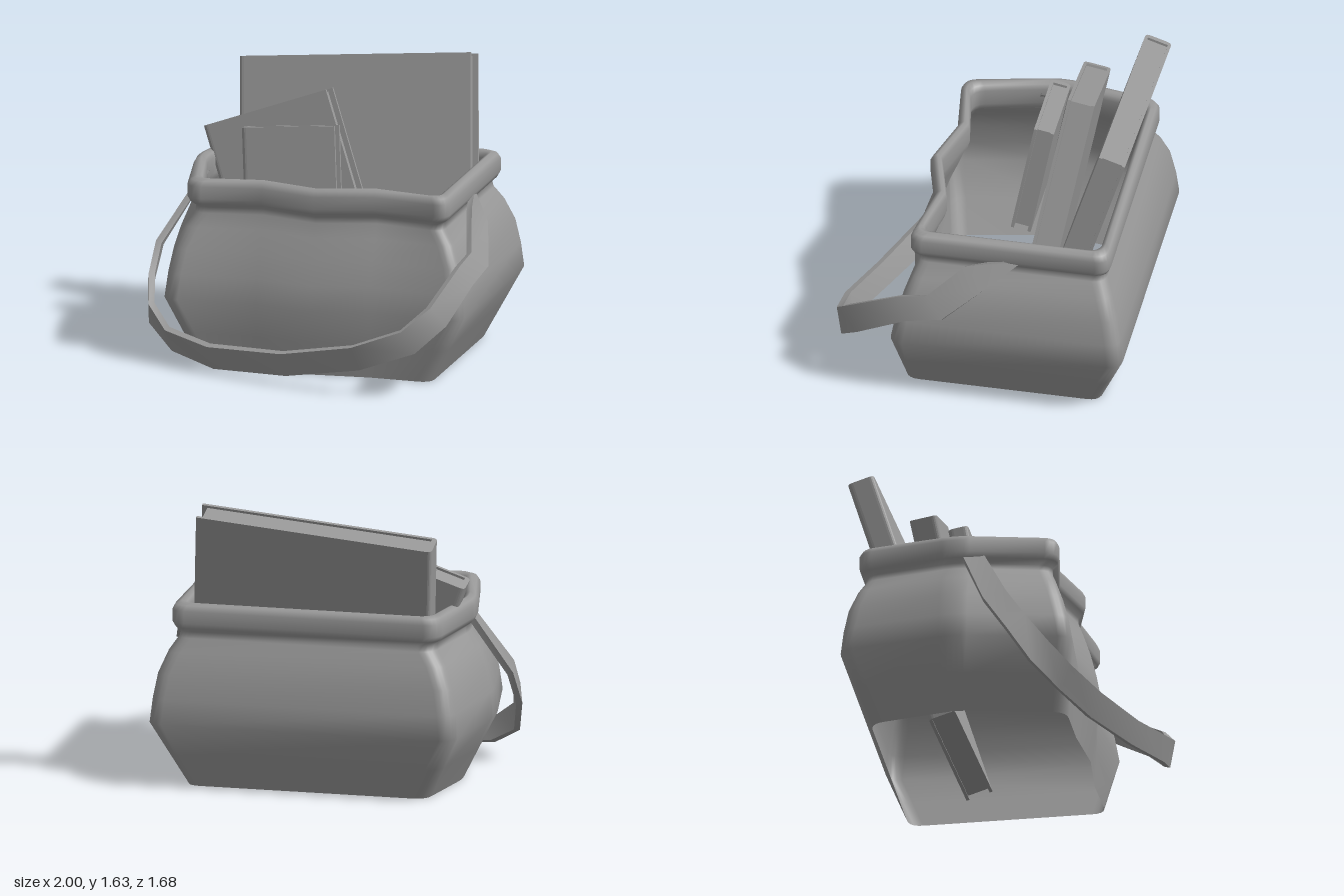
import * as THREE from 'three';
import { toCreasedNormals } from 'three/addons/utils/BufferGeometryUtils.js';

const V = (x, y, z) => new THREE.Vector3(x, y, z);
const smooth = new THREE.MeshStandardMaterial({ color: 0x999999, side: THREE.DoubleSide });
const flat = new THREE.MeshStandardMaterial({ color: 0x999999, side: THREE.DoubleSide, flatShading: true });

// Skin a list of closed rings that all have the same number of points
function loft(rings) {
  const n = rings[0].length, index = [];
  for (let i = 0; i < rings.length - 1; i++) {
    for (let j = 0; j < n; j++) {
      const k = (j + 1) % n;
      const a = i * n + j, b = i * n + k, c = a + n, d = b + n;
      index.push(a, b, d, a, d, c);
    }
  }
  const geo = new THREE.BufferGeometry().setFromPoints(rings.flat());
  geo.setIndex(index);
  geo.computeVertexNormals();
  return geo;
}

function add(group, name, geo, mat) {
  const mesh = new THREE.Mesh(geo, mat);
  mesh.name = name;
  group.add(mesh);
  return mesh;
}

// Horizontal outline: rounded corners, wavy front, right side bowed outward
function bagRing([y, hw, zf, zb, wave]) {
  const pts = [
    [V(hw, y, zf - 0.02), 1], [V(hw, y, zb), 1], [V(-hw + 0.1, y, zb), 1],
    [V(-hw, y, -0.18), 1], [V(-hw + 0.12, y, zf - 0.03), 1],
    [V(-0.28, y, zf - wave), 0], [V(0.05, y, zf), 0], [V(0.38, y, zf - wave), 0],
  ];
  const out = [];
  pts.forEach(([p, round], i) => {
    if (!round) { out.push(p); return; }
    const toward = (q) => p.clone().add(q.clone().sub(p).setLength(0.08));
    const prev = pts[(i + pts.length - 1) % pts.length][0];
    const next = pts[(i + 1) % pts.length][0];
    out.push(...new THREE.QuadraticBezierCurve3(toward(prev), p, toward(next)).getPoints(5));
  });
  return out;
}

// Book hung from its top right front corner; cover is a U with a rounded spine
function makeBook(name, w, h, t, position, rotation) {
  const book = new THREE.Group();
  book.name = name;
  const c = 0.018, r = 0.03;
  const s = new THREE.Shape();
  s.moveTo(0, 0);
  s.lineTo(-w + r, 0);
  s.quadraticCurveTo(-w, 0, -w, r);
  s.lineTo(-w, t - r);
  s.quadraticCurveTo(-w, t, -w + r, t);
  s.lineTo(0, t);
  s.lineTo(0, t - c);
  s.lineTo(-w + r, t - c);
  s.lineTo(-w + r, c);
  s.lineTo(0, c);
  const cover = new THREE.ExtrudeGeometry(s, { depth: h, bevelEnabled: false, curveSegments: 5 });
  cover.rotateX(-Math.PI / 2).translate(0, -h, 0);
  add(book, 'cover', cover, flat);
  const foreEdge = 0.03, ends = 0.014;
  const pages = new THREE.BoxGeometry(w - r - foreEdge, h - 2 * ends, t - 2 * c);
  pages.translate((-w + r - foreEdge) / 2, -h / 2, -t / 2);
  add(book, 'pages', pages, flat);
  book.position.set(...position);
  book.rotation.set(...rotation.map(THREE.MathUtils.degToRad));
  return book;
}

export function createModel() {
  const model = new THREE.Group();
  model.name = 'bagOfBooks';

  // Bag shell, open at top and bottom: y, half width, front z, back z, wave depth
  const profile = [
    [0, 0.74, 0.45, -0.69, 0.03],
    [0.19, 0.835, 0.48, -0.765, 0.05],
    [0.38, 0.93, 0.51, -0.84, 0.07],
    [0.52, 0.915, 0.485, -0.825, 0.07],
    [0.66, 0.89, 0.45, -0.8, 0.08],
    [0.78, 0.84, 0.41, -0.76, 0.09],
    [0.86, 0.785, 0.38, -0.725, 0.09],
    [0.895, 0.78, 0.38, -0.715, 0.09],
    [0.92, 0.805, 0.41, -0.74, 0.09],
    [0.95, 0.82, 0.42, -0.75, 0.09],
    [1.02, 0.82, 0.42, -0.75, 0.09],
    [1.05, 0.805, 0.405, -0.735, 0.09],
    [1.063, 0.775, 0.38, -0.71, 0.09],
    [1.05, 0.75, 0.36, -0.69, 0.09],
    [1.02, 0.74, 0.35, -0.68, 0.09],
    [0.93, 0.74, 0.35, -0.68, 0.09],
    [0.88, 0.765, 0.365, -0.7, 0.09],
  ];
  add(model, 'bagBody', loft(profile.map(bagRing)), smooth);

  // Strap: upper and lower edge at each bend, from the -x side round the front to the +x side
  const bends = [
    [V(-0.73, 1.01, -0.06), V(-0.75, 1.0, -0.17)],
    [V(-0.955, 0.62, 0.13), V(-0.98, 0.58, 0.0)],
    [V(-0.965, 0.46, 0.24), V(-1.0, 0.37, 0.14)],
    [V(-0.93, 0.31, 0.36), V(-0.955, 0.18, 0.27)],
    [V(-0.8, 0.2, 0.48), V(-0.78, 0.065, 0.41)],
    [V(-0.52, 0.155, 0.6), V(-0.5, 0.015, 0.54)],
    [V(-0.05, 0.185, 0.74), V(-0.03, 0.05, 0.7)],
    [V(0.39, 0.28, 0.84), V(0.43, 0.145, 0.81)],
    [V(0.68, 0.39, 0.83), V(0.75, 0.26, 0.79)],
    [V(0.83, 0.52, 0.75), V(0.9, 0.4, 0.67)],
    [V(0.91, 0.69, 0.43), V(0.97, 0.57, 0.38)],
    [V(0.93, 0.73, 0.27), V(1.0, 0.63, 0.17)],
    [V(0.87, 0.925, 0.06), V(0.93, 0.82, -0.06)],
    [V(0.8, 0.965, -0.24), V(0.8, 0.945, -0.25)],
  ];
  const strap = bends.map(([u, l], i) => {
    const before = bends[Math.max(i - 1, 0)], after = bends[Math.min(i + 1, bends.length - 1)];
    const along = after[0].clone().add(after[1]).sub(before[0]).sub(before[1]);
    const inward = along.cross(u.clone().sub(l)).setLength(-0.035);
    return [u, l, l.clone().add(inward), u.clone().add(inward)];
  });
  add(model, 'strap', toCreasedNormals(loft(strap), 1.1), smooth);

  // Books leaning back inside the bag
  model.add(
    makeBook('largeBook', 1.36, 1.5, 0.155, [0.65, 1.63, -0.663], [-17, -1.5, 5]),
    makeBook('mediumBook', 0.75, 0.96, 0.155, [-0.1, 1.44, -0.335], [-10, 0, 20]),
    makeBook('smallBook', 0.545, 0.67, 0.115, [0, 1.28, -0.162], [-10.5, 0, 5]),
  );
  return model;
}
